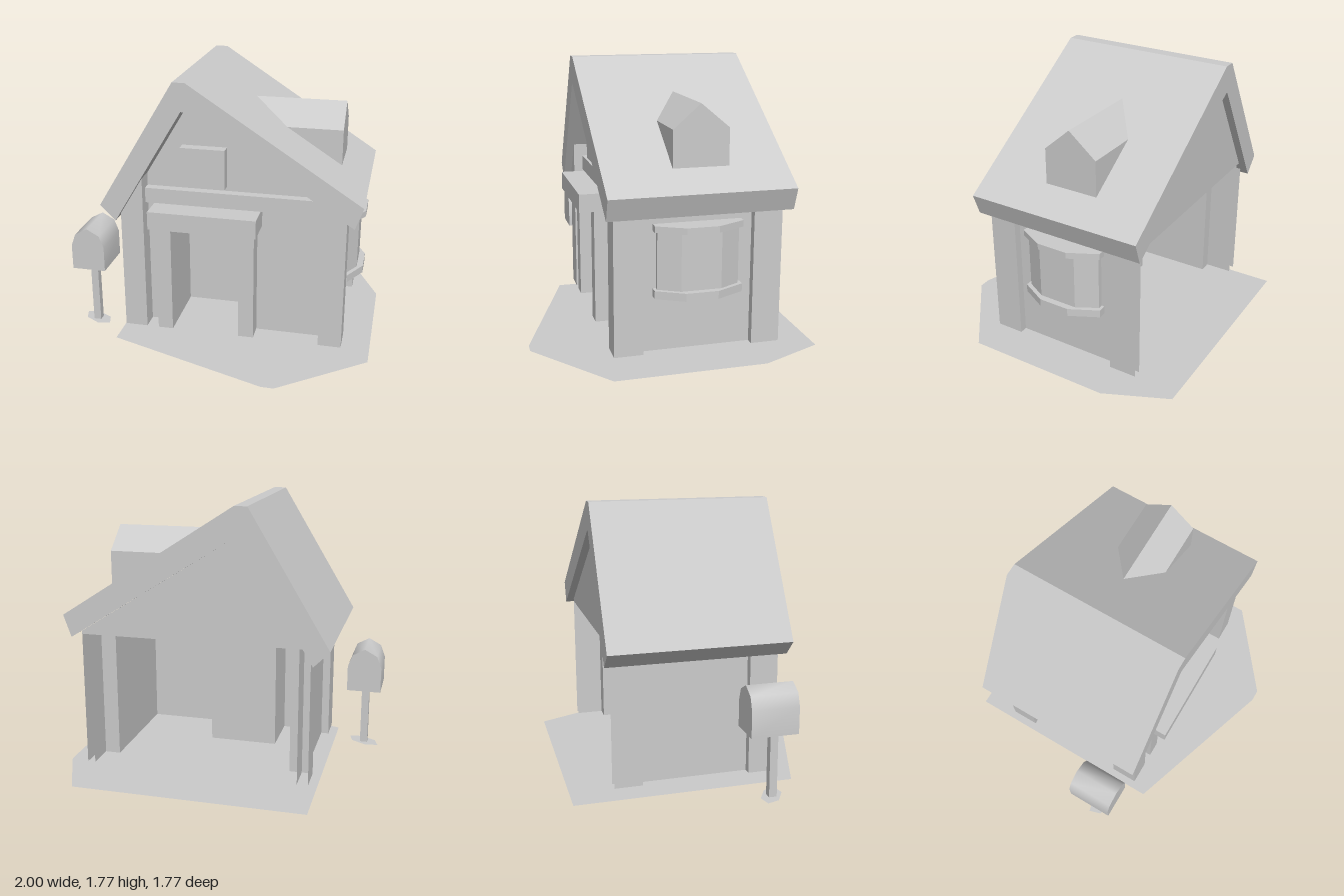
import * as THREE from 'three';
import { toCreasedNormals } from 'three/addons/utils/BufferGeometryUtils.js';

const mat = new THREE.MeshStandardMaterial({ color: 0xcccccc, side: THREE.DoubleSide });

const shapeOf = (pts) => new THREE.Shape(pts.map(([x, y]) => new THREE.Vector2(x, y)));

// Outline in x,y pushed from z0 to z1
function prismZ(pts, z0, z1) {
  return new THREE.ExtrudeGeometry(shapeOf(pts), { depth: z1 - z0, bevelEnabled: false }).translate(0, 0, z0);
}

// Floor plan in x,z raised from y0 to y1
function prismY(pts, y0, y1) {
  const plan = shapeOf(pts.map(([x, z]) => [x, -z]));
  return new THREE.ExtrudeGeometry(plan, { depth: y1 - y0, bevelEnabled: false }).rotateX(-Math.PI / 2).translate(0, y0, 0);
}

const sheetZ = (pts, z) => new THREE.ShapeGeometry(shapeOf(pts)).translate(0, 0, z);
const sheetY = (pts, y) => new THREE.ShapeGeometry(shapeOf(pts.map(([x, z]) => [x, -z]))).rotateX(-Math.PI / 2).translate(0, y, 0);

function box(x0, x1, y0, y1, z0, z1) {
  return new THREE.BoxGeometry(x1 - x0, y1 - y0, z1 - z0).translate((x0 + x1) / 2, (y0 + y1) / 2, (z0 + z1) / 2);
}

// Upright sheet between two plan points
function panel([xa, za], [xb, zb], y0, y1) {
  const g = new THREE.PlaneGeometry(Math.hypot(xb - xa, zb - za), y1 - y0);
  return g.rotateY(-Math.atan2(zb - za, xb - xa)).translate((xa + xb) / 2, (y0 + y1) / 2, (za + zb) / 2);
}

export function createModel() {
  const model = new THREE.Group();
  const add = (name, geometry) => {
    const mesh = new THREE.Mesh(geometry, mat);
    mesh.name = name;
    model.add(mesh);
  };
  const base = 0.06, ceiling = 0.93, front = 0.3;

  // Ground
  add('ground', sheetY([[-0.68, -0.89], [0.82, -0.89], [1, -0.49], [1, 0.46], [0.46, 0.88], [0.38, 0.88], [-0.68, 0.52]], 0));

  // Roof with uneven slopes
  add('roof', prismZ([[-0.76, 0.94], [-0.66, 0.84], [-0.21, 1.59], [-0.19, 1.59], [0.87, 0.92], [0.92, 1.06], [-0.18, 1.77], [-0.26, 1.77]], -0.68, 0.47));

  // Front wall around the doorway, back gable and ceiling
  add('frontWall', sheetZ([[-0.59, base], [-0.31, base], [-0.31, ceiling], [0.14, ceiling], [0.14, base],
    [0.77, base], [0.77, 0.98], [-0.19, 1.59], [-0.21, 1.59], [-0.59, 0.96]], front));
  add('backGable', sheetZ([[-0.61, ceiling], [0.82, ceiling], [0.82, 0.95], [-0.19, 1.59], [-0.21, 1.59]], -0.63));
  add('ceiling', sheetY([[-0.59, -0.63], [0.82, -0.63], [0.82, front], [-0.59, front]], ceiling));

  // Side walls, left open at the back of the house
  add('leftWall', box(0.67, 0.77, base, ceiling, -0.45, front));
  add('rightWall', box(-0.59, -0.49, base, ceiling, -0.45, front));

  // Front corner posts, cut to the roof slope
  add('frontPostRight', prismZ([[-0.64, base], [-0.49, base], [-0.49, 1.13], [-0.64, 0.88]], 0.24, 0.42));
  add('frontPostLeft', prismZ([[0.67, base], [0.82, base], [0.82, 0.95], [0.67, 1.05]], 0.24, 0.42));

  // Back corner posts, hollow towards the back
  for (const [side, outer, inner] of [['Right', -0.64, -0.57], ['Left', 0.82, 0.77]]) {
    const plan = [[outer, -0.63], [outer, -0.45], [inner, -0.45], [inner, -0.63]];
    for (let i = 0; i < 3; i++) add('backPost' + side, panel(plan[i], plan[i + 1], base, ceiling));
  }

  // Recessed doorway
  const alcove = [[-0.31, front], [-0.31, -0.04], [0.14, -0.04], [0.14, front]];
  for (let i = 0; i < 3; i++) add(i === 1 ? 'door' : 'doorwaySide', panel(alcove[i], alcove[i + 1], base, ceiling));

  // Door frame, cross beam and gable window
  for (const x of [-0.41, 0.14]) add('doorPost', box(x, x + 0.1, base, 0.82, front, 0.42));
  add('doorLintel', box(-0.43, 0.27, 0.82, 0.94, front, 0.52));
  add('crossBeam', box(-0.49, 0.67, 0.94, 1.04, front, 0.36));
  add('gableWindow', box(-0.25, 0.04, 1.07, 1.33, front, 0.37));

  // Bay window with sill and head
  const ledge = [[0.76, 0.17], [0.82, 0.17], [0.91, 0], [0.91, -0.2], [0.82, -0.38], [0.76, -0.38]];
  add('baySill', prismY(ledge, 0.41, 0.46));
  add('bayHead', prismY(ledge, 0.82, 0.86));
  add('bayWindow', prismY([[0.76, 0.15], [0.8, 0.15], [0.87, 0.02], [0.87, -0.23], [0.8, -0.36], [0.76, -0.36]], 0.46, 0.82));

  // Dormer: gabled prism whose rear end is slid onto the roof slope
  const dormer = prismZ([[-0.04, 1.18], [0.31, 1.18], [0.31, 1.41], [0.13, 1.56], [-0.04, 1.41]], 0, 1).rotateY(Math.PI / 2);
  const p = dormer.attributes.position;
  for (let i = 0; i < p.count; i++) {
    p.setX(i, p.getX(i) > 0.5 ? 0.74 : Math.min(0.739, (1.77 - p.getY(i)) / 0.645 - 0.18));
  }
  dormer.computeVertexNormals();
  add('dormer', dormer);

  // Mailbox with rounded top, post and foot
  const arch = [[-1, 0.44], [-0.775, 0.44], [-0.775, 0.61], [-0.805, 0.69], [-0.887, 0.735], [-0.97, 0.69], [-1, 0.61]];
  add('mailbox', toCreasedNormals(prismZ(arch, 0.12, 0.42), 1.1));
  add('mailboxPost', box(-0.913, -0.863, 0.01, 0.44, 0.275, 0.325));
  const foot = [];
  for (let i = 0; i < 6; i++) {
    const a = i * Math.PI / 3, u = 0.12 * Math.cos(a), v = 0.065 * Math.sin(a);
    foot.push([-0.887 + 0.85 * u - 0.5 * v, 0.3 + 0.5 * u + 0.85 * v]);
  }
  add('mailboxFoot', sheetY(foot, 0.01));

  return model;
}
